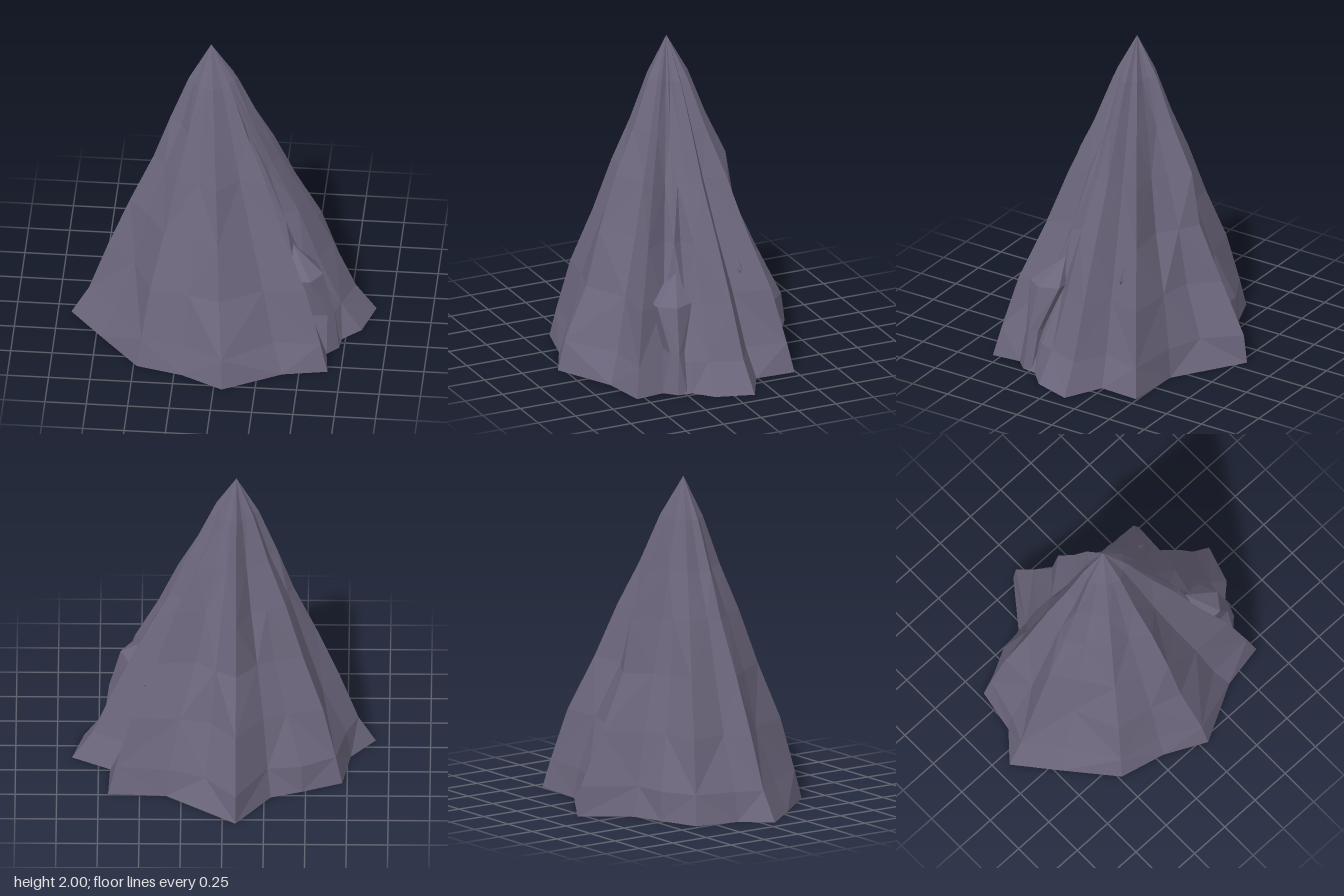
import * as THREE from 'three';

// Heights of the rings, and how far each kind of column reaches out at each ring
const HEIGHTS = [0, 0.18, 0.5, 0.84, 1.17, 1.45, 1.75];
const PROFILES = {
  side: [1, 0.875, 0.74, 0.58, 0.41, 0.295, 0.16],
  front: [1, 0.94, 0.74, 0.62, 0.47, 0.305, 0.165],
  back: [1, 0.97, 0.77, 0.57, 0.50, 0.33, 0.18],
  corner: [1, 0.94, 0.82, 0.63, 0.47, 0.31, 0.165],
  valley: [1, 0.95, 0.78, 0.59, 0.44, 0.30, 0.16],
  gully: [1, 0.90, 0.71, 0.56, 0.42, 0.28, 0.15],
};
const APEX = [-0.08, 2, 0];

// Foot of each ridge and gully, going round from the left to the front: x, z, profile
const COLUMNS = [
  [0.91, -0.12, 'side'], [0.84, 0.11, 'gully'], [0.73, 0.21, 'gully'],
  [0.72, 0.29, 'gully'], [0.65, 0.37, 'gully'], [0.67, 0.55, 'corner'],
  [0.40, 0.60, 'gully'], [0.05, 0.785, 'front'], [-0.20, 0.66, 'valley'],
  [-0.48, 0.59, 'corner'], [-0.72, 0.31, 'gully'], [-0.92, 0.07, 'side'],
  [-0.77, -0.10, 'valley'], [-0.72, -0.37, 'corner'], [-0.48, -0.46, 'valley'],
  [-0.29, -0.52, 'valley'], [-0.08, -0.79, 'back'], [0.13, -0.65, 'gully'],
  [0.34, -0.51, 'valley'], [0.69, -0.49, 'corner'], [0.68, -0.24, 'gully'],
];

// Faceted skin over stacked rings, closed by a tip and a flat underside
function facetedLoft(rings, tip) {
  const out = [];
  const n = rings[0].length;
  const base = [0, 1, 2].map(k => rings[0].reduce((s, p) => s + p[k], 0) / n);
  for (let i = 0; i < n; i++) {
    const j = (i + 1) % n;
    for (let r = 0; r < rings.length - 1; r++) {
      const a = rings[r][i], b = rings[r][j], c = rings[r + 1][i], d = rings[r + 1][j];
      if ((i + r) % 2) out.push(...a, ...c, ...b, ...b, ...c, ...d);
      else out.push(...a, ...d, ...b, ...a, ...c, ...d);
    }
    const top = rings[rings.length - 1];
    out.push(...top[i], ...tip, ...top[j]);
    out.push(...base, ...rings[0][i], ...rings[0][j]);
  }
  const geometry = new THREE.BufferGeometry();
  geometry.setAttribute('position', new THREE.Float32BufferAttribute(out, 3));
  geometry.computeVertexNormals();
  return geometry;
}

export function createModel() {
  const group = new THREE.Group();
  group.name = 'rockPeak';
  const stone = new THREE.MeshStandardMaterial({ color: 0x6c667c, flatShading: true });
  stone.name = 'slate purple stone';

  const add = (name, geometry) => {
    const mesh = new THREE.Mesh(geometry, stone);
    mesh.name = name;
    group.add(mesh);
    return mesh;
  };

  // Main peak, with slight unevenness in the gullies
  const rings = HEIGHTS.map((y, r) => COLUMNS.map(([x, z, kind], i) => {
    const hollow = kind === 'gully' || kind === 'valley';
    const wobble = hollow && r > 0 ? 1 + 0.04 * Math.sin(i * 2.7 + r * 1.9) : 1;
    const s = PROFILES[kind][r] * wobble;
    return [APEX[0] + (x - APEX[0]) * s, y, z * s];
  }));
  add('peak', facetedLoft(rings, APEX));

  // Bulging spur in the gully on the left side
  add('spur', facetedLoft([
    [[0.72, 0, 0.24], [0.72, 0, 0.30], [0.65, 0, 0.37], [0.45, 0, 0.35], [0.45, 0, 0.20]],
    [[0.66, 0.25, 0.23], [0.69, 0.25, 0.28], [0.65, 0.25, 0.32], [0.45, 0.25, 0.33], [0.45, 0.25, 0.20]],
    [[0.57, 0.52, 0.14], [0.62, 0.52, 0.26], [0.55, 0.52, 0.36], [0.38, 0.52, 0.36], [0.38, 0.52, 0.14]],
  ], [0.43, 0.67, 0.18]));

  // Small shard poking out of the left rear gully
  const shard = add('shard', new THREE.OctahedronGeometry(1));
  shard.scale.set(0.05, 0.08, 0.025);
  shard.position.set(0.43, 0.63, -0.235);

  return group;
}
